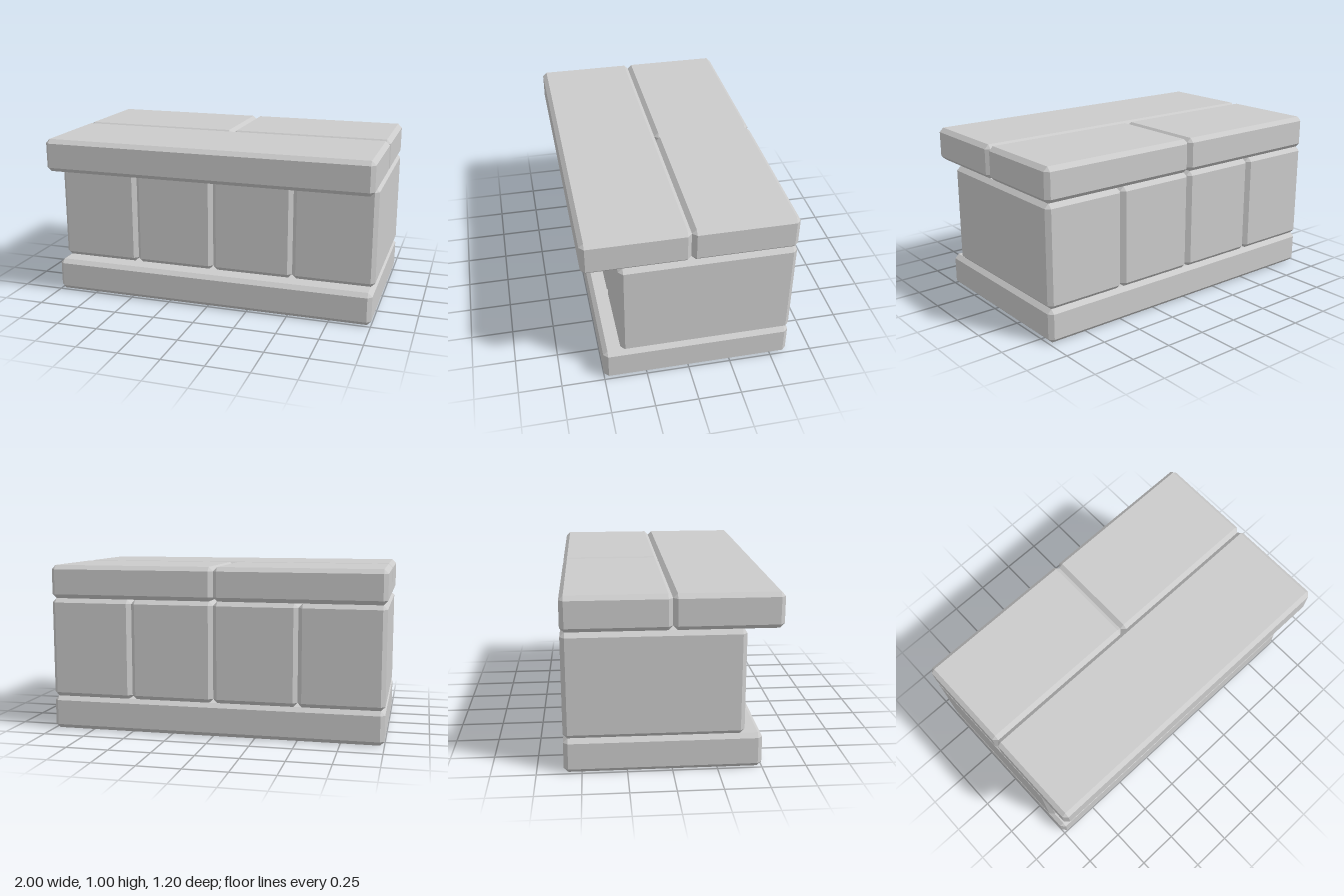
import * as THREE from 'three';
import { ConvexGeometry } from 'three/addons/geometries/ConvexGeometry.js';

const CHAMFER = 0.025;

// Box with every edge cut at 45 degrees: each corner becomes three points.
function chamferedBox(w, h, d) {
  const half = [w / 2, h / 2, d / 2];
  const points = [];
  for (const sx of [-1, 1]) for (const sy of [-1, 1]) for (const sz of [-1, 1]) {
    for (let face = 0; face < 3; face++) {
      const [x, y, z] = half.map((v, axis) => (axis === face ? v : v - CHAMFER));
      points.push(new THREE.Vector3(sx * x, sy * y, sz * z));
    }
  }
  return new ConvexGeometry(points);
}

export function createModel() {
  const model = new THREE.Group();
  model.name = 'stoneBench';
  const stone = new THREE.MeshStandardMaterial({ color: 0xcccccc, flatShading: true });

  // Adds a block given its extents along each axis.
  function addBlock(name, [x0, x1], [y0, y1], [z0, z1]) {
    const mesh = new THREE.Mesh(chamferedBox(x1 - x0, y1 - y0, z1 - z0), stone);
    mesh.position.set((x0 + x1) / 2, (y0 + y1) / 2, (z0 + z1) / 2);
    mesh.name = name;
    model.add(mesh);
  }

  // Base slab
  addBlock('baseSlab', [-1, 1], [0, 0.2], [-0.6, 0.5]);

  // Row of four upright blocks
  for (let i = 0; i < 4; i++) {
    const x = -1 + i * 0.5;
    addBlock(`wallBlock${i + 1}`, [x, x + 0.5], [0.2, 0.8], [-0.6, 0.4]);
  }

  // Top slabs: one long in front, two short behind
  addBlock('frontTopSlab', [-1, 1], [0.8, 1], [0, 0.6]);
  addBlock('backRightTopSlab', [-1, 0], [0.8, 1], [-0.6, 0]);
  addBlock('backLeftTopSlab', [0, 1], [0.8, 1], [-0.6, 0]);

  return model;
}
